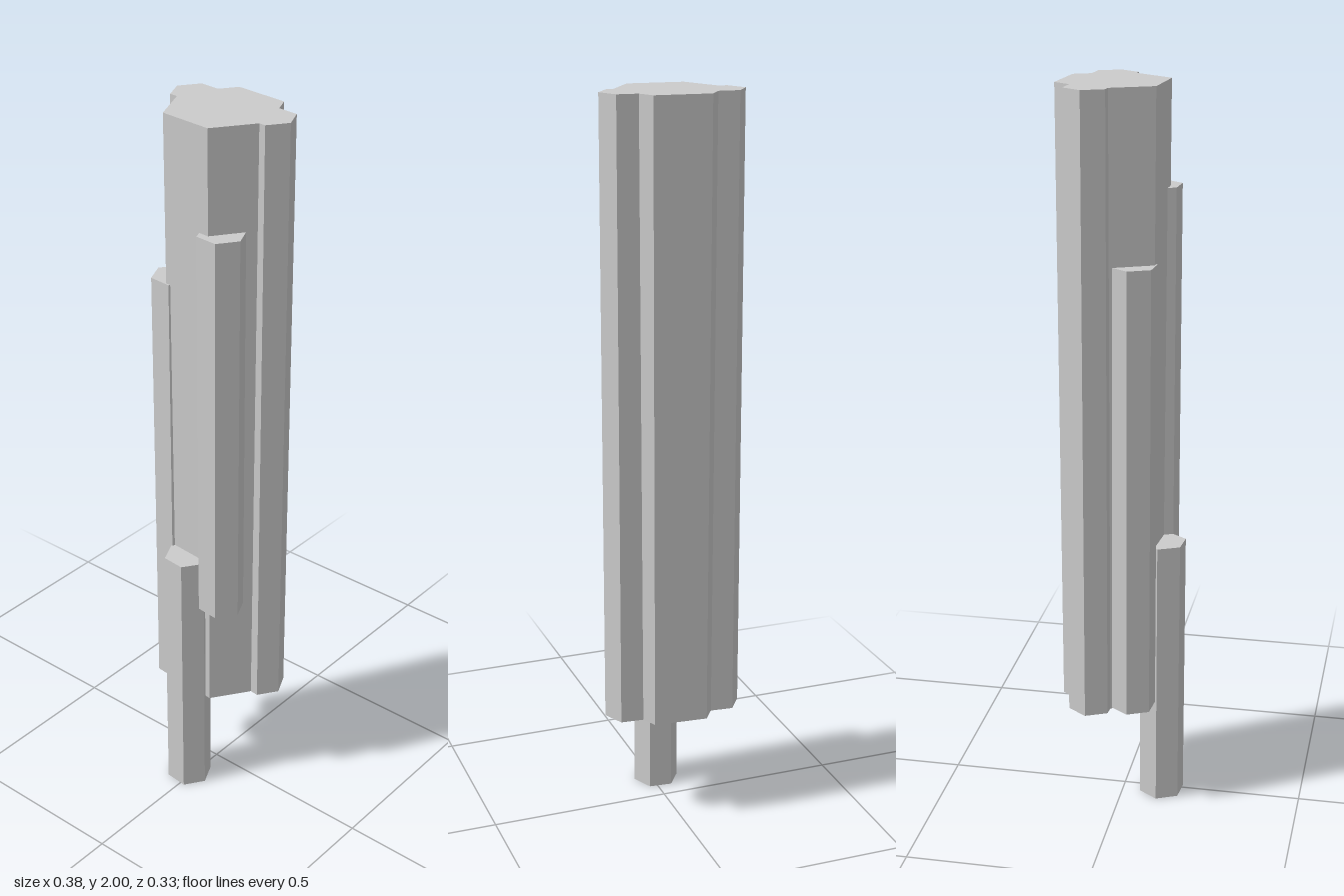
import * as THREE from 'three';

export function createModel() {
  const group = new THREE.Group();
  const material = new THREE.MeshStandardMaterial({ color: 0xcccccc, flatShading: true });
  const twist = THREE.MathUtils.degToRad(25); // all columns share one orientation

  // Upright six-sided column
  function column(name, x, z, rTop, rBottom, y0, y1) {
    const geometry = new THREE.CylinderGeometry(rTop, rBottom, y1 - y0, 6, 1, false, twist);
    const mesh = new THREE.Mesh(geometry, material);
    mesh.name = name;
    mesh.position.set(x, (y0 + y1) / 2, z);
    group.add(mesh);
  }

  // Large core column, very slightly narrower at the foot
  column('coreColumn', -0.002, -0.03, 0.152, 0.147, 0.305, 2);

  // Slim columns clustered around it
  const r = 0.0635;
  const slim = [
    ['leftColumn', 0.127, -0.052, 0.305, 2],
    ['rightColumn', -0.128, -0.07, 0.305, 2],
    ['frontRightColumn', -0.103, 0.041, 0.307, 1.55],
    ['frontLeftColumn', 0.078, 0.074, 0.62, 1.725],
    ['frontColumn', -0.0135, 0.108, 0, 0.765],
  ];
  for (const [name, x, z, y0, y1] of slim) column(name, x, z, r, r, y0, y1);

  return group;
}
